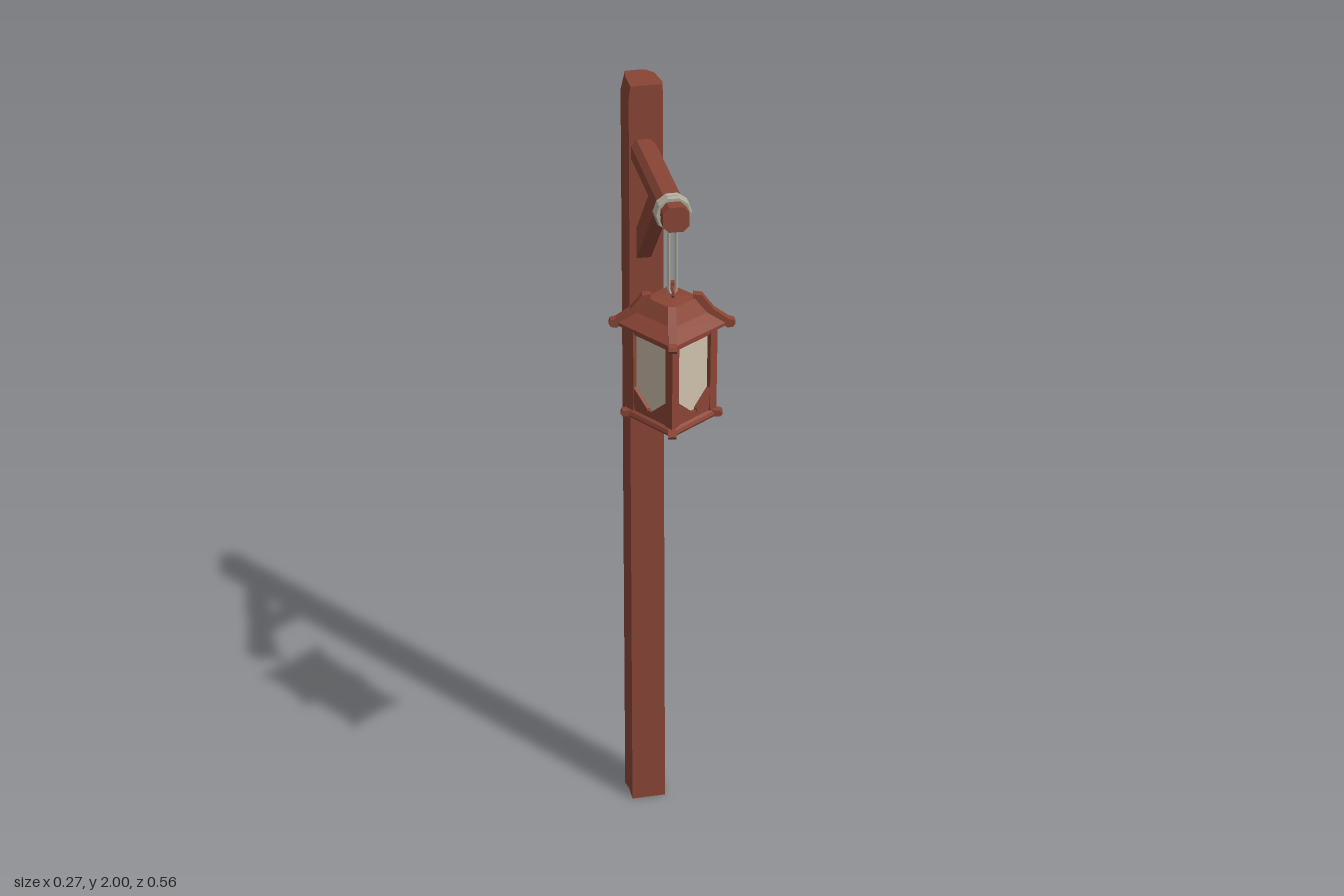
import * as THREE from 'three';

const mat = (name, color, extra = {}) =>
  Object.assign(new THREE.MeshStandardMaterial({ color, flatShading: true, ...extra }), { name });

export function createModel() {
  const wood = mat('redWood', 0x8a4535);
  const paper = mat('lanternPaper', 0xcdbfab, { side: THREE.DoubleSide });
  const rope = mat('rope', 0xaaa797);
  const model = new THREE.Group();
  model.name = 'lanternPost';

  const add = (parent, name, geometry, material, x = 0, y = 0, z = 0) => {
    const mesh = new THREE.Mesh(geometry, material);
    mesh.name = name;
    mesh.position.set(x, y, z);
    parent.add(mesh);
    return mesh;
  };
  const poly = (pts) => new THREE.Shape(pts.map(([x, y]) => new THREE.Vector2(x, y)));
  const prism = (pts, depth, steps = 1) =>
    new THREE.ExtrudeGeometry(poly(pts), { depth, steps, bevelEnabled: false });

  // Hewn post: irregular section, slight taper, one corner chipped at the top
  const section = [
    [-0.037, 0.176], [0.051, 0.176], [0.055, 0.195], [0.045, 0.255], [0.03, 0.273],
    [0.012, 0.278], [-0.027, 0.276], [-0.044, 0.245], [-0.038, 0.222],
  ];
  const postGeo = prism(section, 2, 2).rotateX(-Math.PI / 2);
  const p = postGeo.attributes.position;
  for (let i = 0; i < p.count; i++) {
    const y = p.getY(i);
    if (y < 0.5) continue;
    const x = p.getX(i), z = p.getZ(i);
    p.setX(i, y > 1.5 ? Math.max(x * 0.85, -0.028) : x * 0.87);
    p.setZ(i, -0.228 + (z + 0.228) * 0.94);
    if (y < 1.5) p.setY(i, 1.97);
  }
  postGeo.computeVertexNormals();
  add(model, 'post', postGeo, wood);

  // Arm with chamfered edges
  const h = 0.028, c = 0.015;
  const octagon = [[-h, -c], [-c, -h], [c, -h], [h, -c], [h, c], [c, h], [-c, h], [-h, c]];
  add(model, 'arm', prism(octagon, 0.39), wood, 0, 1.847, -0.203);

  // Diagonal brace, drawn in z and y
  const brace = prism([[0.06, 1.825], [-0.015, 1.825], [-0.19, 1.65], [-0.19, 1.575]], 0.034);
  add(model, 'brace', brace.rotateY(-Math.PI / 2), wood, 0.017);

  // Rope wound round the arm and the hanging loop
  for (const z of [0.137, 0.153])
    add(model, 'ropeWrap', new THREE.TorusGeometry(0.034, 0.007, 6, 10), rope, 0, 1.847, z);
  const loop = new THREE.CatmullRomCurve3(
    [[-0.008, 1.81], [-0.008, 1.665], [0, 1.655], [0.008, 1.665], [0.008, 1.81], [0, 1.818]]
      .map(([x, y]) => new THREE.Vector3(x, y, 0.147)), true, 'catmullrom', 0.1);
  add(model, 'hangingRope', new THREE.TubeGeometry(loop, 36, 0.004, 5, true), rope);

  // Lantern, with its corners on the local x and z axes
  const lantern = new THREE.Group();
  lantern.name = 'lantern';
  lantern.position.z = 0.145;
  lantern.rotation.y = -0.19;
  model.add(lantern);

  const square = (name, profile) => add(lantern, name,
    new THREE.LatheGeometry(profile.map(([r, y]) => new THREE.Vector2(r, y)), 4), wood);
  square('roof', [[0, 1.572], [0.098, 1.572], [0.124, 1.583], [0.124, 1.59],
    [0.084, 1.615], [0.058, 1.648], [0, 1.654]]);
  square('base', [[0, 1.356], [0.1, 1.356], [0.104, 1.362], [0.1, 1.37], [0.092, 1.374],
    [0.09, 1.388], [0, 1.388]]);
  const ring = add(lantern, 'topRing', new THREE.TorusGeometry(0.013, 0.004, 5, 10), wood, 0, 1.658, 0);
  ring.rotation.y = Math.PI / 2 + 0.19;

  const hip = [[0.045, 1.64], [0.08, 1.608], [0.12, 1.578], [0.132, 1.58], [0.137, 1.588],
    [0.134, 1.596], [0.122, 1.599], [0.09, 1.622], [0.064, 1.656], [0.045, 1.658]];
  const foot = [[0.085, 1.357], [0.108, 1.357], [0.113, 1.364], [0.11, 1.371], [0.085, 1.374]];
  const bracket = [[-0.058, 0], [-0.008, 0], [-0.008, 0.008], [-0.05, 0.046], [-0.058, 0.046]];

  for (let i = 0; i < 4; i++) {
    // Corner: post, roof hip and foot
    const corner = new THREE.Group();
    corner.name = 'lanternCorner';
    corner.rotation.y = i * Math.PI / 2;
    lantern.add(corner);
    const stile = add(corner, 'cornerPost', new THREE.BoxGeometry(0.021, 0.2, 0.021), wood, 0.084, 1.475, 0);
    stile.rotation.y = Math.PI / 4;
    add(corner, 'roofHip', prism(hip, 0.018), wood, 0, 0, -0.009);
    add(corner, 'foot', prism(foot, 0.018), wood, 0, 0, -0.009);

    // Side: paper pane, rails and lower corner brackets
    const side = new THREE.Group();
    side.name = 'lanternSide';
    side.rotation.y = i * Math.PI / 2 + Math.PI / 4;
    lantern.add(side);
    add(side, 'pane', new THREE.BoxGeometry(0.11, 0.19, 0.004), paper, 0, 1.478, 0.058);
    add(side, 'topRail', new THREE.BoxGeometry(0.12, 0.012, 0.014), wood, 0, 1.569, 0.06);
    add(side, 'bottomRail', new THREE.BoxGeometry(0.12, 0.014, 0.014), wood, 0, 1.385, 0.06);
    for (const s of [1, -1])
      add(side, 'bracket', prism(bracket.map(([x, y]) => [x * s, y]), 0.012), wood, 0, 1.388, 0.057);
  }
  return model;
}
